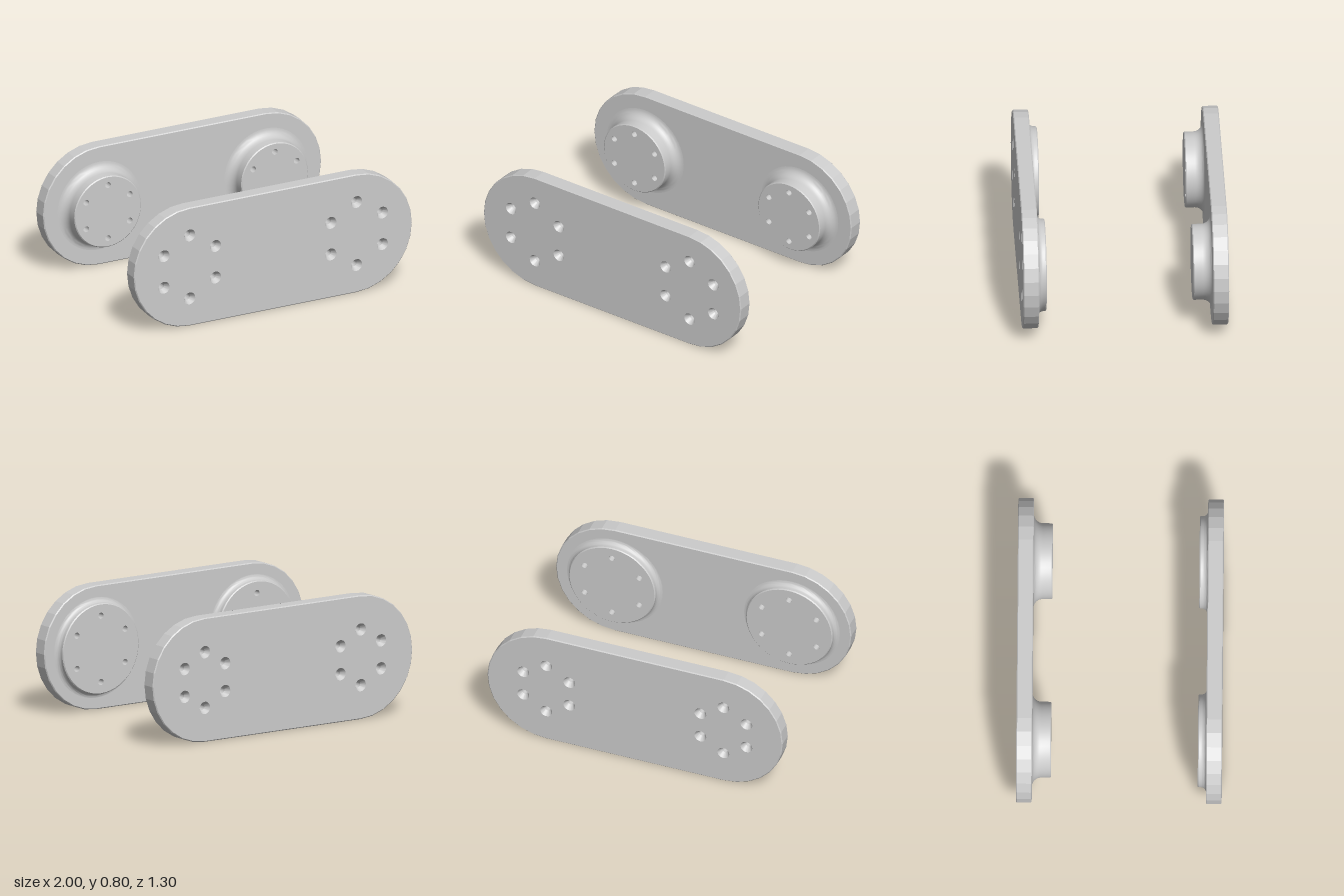
import * as THREE from 'three';
import { toCreasedNormals } from 'three/addons/utils/BufferGeometryUtils.js';

const R = 0.4, HALF = 0.6, THICK = 0.1, BEVEL = 0.006, SINK = 0.04, BORE = 0.02;
const material = new THREE.MeshStandardMaterial({ color: 0xcccccc });

function addMesh(parent, name, geometry) {
  const mesh = new THREE.Mesh(geometry, material);
  mesh.name = name;
  parent.add(mesh);
}

function circle(x, y, r, n) {
  return Array.from({ length: n }, (_, i) => {
    const a = (i / n) * Math.PI * 2;
    return new THREE.Vector2(x + r * Math.cos(a), y + r * Math.sin(a));
  });
}

// Counter-clockwise slot outline: two half circles of 14 sides
function slot(r) {
  const pts = [];
  for (const side of [1, -1]) {
    for (let i = 0; i <= 14; i++) {
      const a = -Math.PI / 2 + (i / 14) * Math.PI;
      pts.push(new THREE.Vector2(side * (HALF + r * Math.cos(a)), side * r * Math.sin(a)));
    }
  }
  return pts;
}

function face(outline, holes) {
  const shape = new THREE.Shape(outline);
  shape.holes = holes.map((h) => new THREE.Path(h));
  return new THREE.ShapeGeometry(shape);
}

// Faceted rim with a narrow chamfer on both edges
function rimGeometry() {
  const loops = [[R - BEVEL, 0], [R, BEVEL], [R, THICK - BEVEL], [R - BEVEL, THICK]]
    .map(([r, z]) => slot(r).map((p) => [p.x, p.y, z]));
  const pos = [];
  for (let k = 0; k < 3; k++) {
    const a = loops[k], b = loops[k + 1];
    for (let i = 0; i < a.length; i++) {
      const j = (i + 1) % a.length;
      pos.push(...a[i], ...a[j], ...b[j], ...a[i], ...b[j], ...b[i]);
    }
  }
  const g = new THREE.BufferGeometry();
  g.setAttribute('position', new THREE.Float32BufferAttribute(pos, 3));
  g.computeVertexNormals();
  return g;
}

// Surface of revolution about z from [radius, z] pairs
function turned(profile, sides, x, y) {
  const g = new THREE.LatheGeometry(profile.map(([r, z]) => new THREE.Vector2(r, z)), sides);
  return toCreasedNormals(g.rotateX(Math.PI / 2).translate(x, y, 0), 0.5);
}

// One plate, outer face towards +z, bosses towards -z
function plate(name, bossR, bossH, fillet, boltR) {
  const group = new THREE.Group();
  group.name = name;
  const bolts = [0, 1, 2, 3, 4, 5].map((k) => {
    const a = Math.PI / 6 + (k * Math.PI) / 3;
    return [boltR * Math.cos(a), boltR * Math.sin(a)];
  });
  const sides = [-HALF, HALF];

  // Plate body
  const sinks = sides.flatMap((x) => bolts.map(([u, v]) => circle(x + u, v, SINK, 24)));
  addMesh(group, 'plateOuterFace', face(slot(R - BEVEL), sinks).translate(0, 0, THICK));
  const openings = sides.map((x) => circle(x, 0, bossR + fillet, 48));
  addMesh(group, 'plateInnerFace', face(slot(R - BEVEL), openings).rotateY(Math.PI));
  addMesh(group, 'plateRim', rimGeometry());

  // Round boss: bevelled edge, straight wall, fillet into the plate
  const profile = [[bossR - BEVEL, -bossH], [bossR, -bossH + BEVEL]];
  for (let i = 0; i <= 8; i++) {
    const a = (i / 8) * Math.PI / 2;
    profile.push([bossR + fillet * (1 - Math.cos(a)), -fillet * (1 - Math.sin(a))]);
  }
  const bores = bolts.map(([u, v]) => circle(u, v, BORE, 24));
  for (const x of sides) {
    addMesh(group, 'bossWall', turned(profile, 48, x, 0));
    addMesh(group, 'bossFace',
      face(circle(0, 0, bossR - BEVEL, 48), bores).rotateY(Math.PI).translate(x, 0, -bossH));
    // Countersunk through holes
    for (const [u, v] of bolts) {
      addMesh(group, 'boltHole',
        turned([[SINK, THICK], [BORE, THICK - 0.035], [BORE, -bossH]], 24, x + u, v));
    }
  }
  return group;
}

export function createModel() {
  const model = new THREE.Group();
  model.name = 'linkPlates';
  const front = plate('frontPlate', 0.293, 0.052, 0.032, 0.214);
  front.position.set(0, R, 0.55);
  const back = plate('backPlate', 0.24, 0.12, 0.058, 0.18);
  back.rotation.y = Math.PI;
  back.position.set(0, R, -0.55);
  model.add(front, back);
  return model;
}
